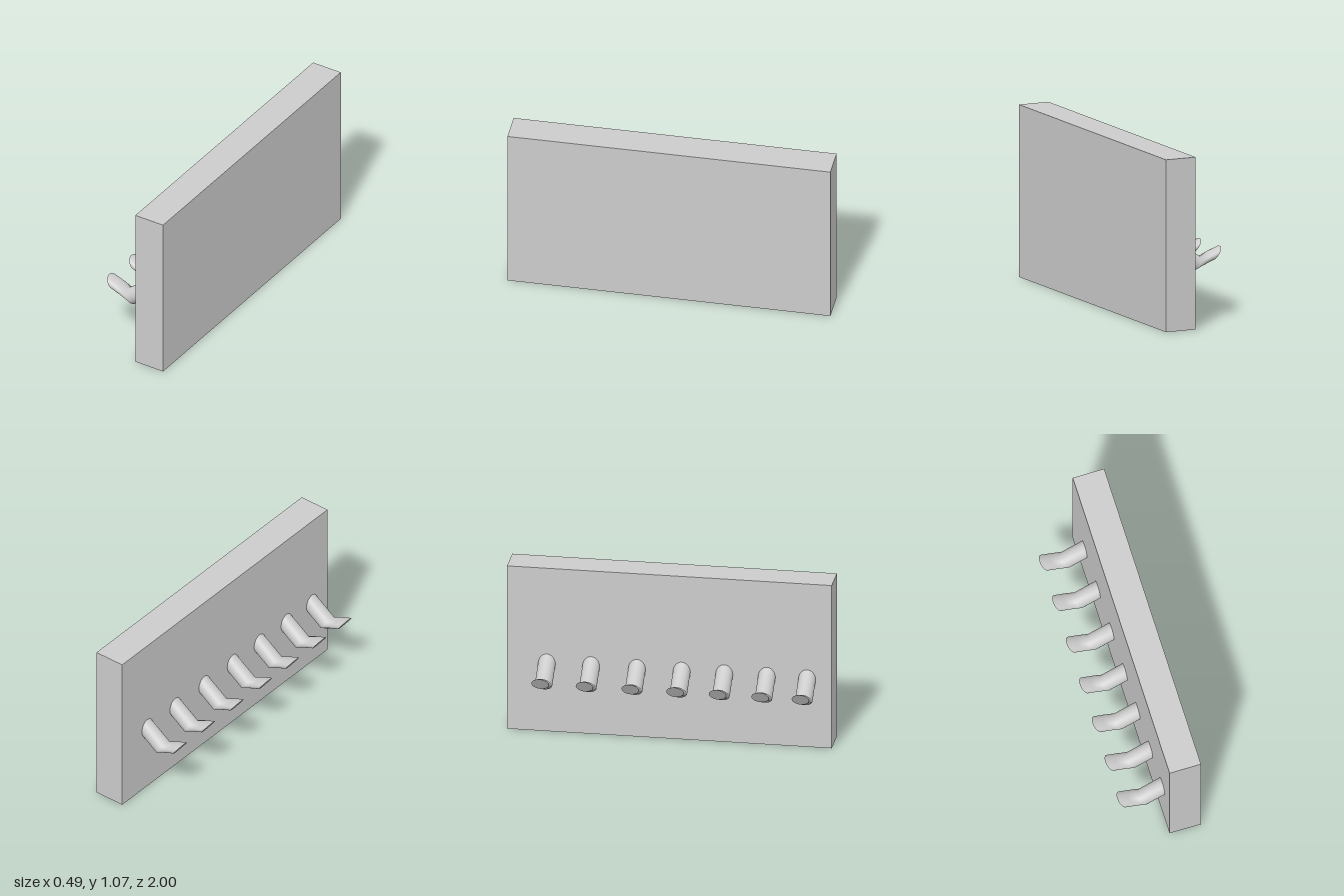
import * as THREE from 'three';

const SIDES = 32;
const RADIUS = 0.053;

// Upper and lower outline points of each slanted section, wall to tip
const SECTIONS = [
  { top: [0.043, 0.505], bottom: [0.043, 0.378] },
  { top: [-0.11, 0.397], bottom: [-0.05, 0.31] },
  { top: [-0.175, 0.428], bottom: [-0.112, 0.339] },
  { top: [-0.243, 0.452], bottom: [-0.184, 0.367] },
];

// Elliptical rings joined into a bent tube, with a separate flat cap at the tip
function pegGeometry() {
  const positions = [];
  const indices = [];
  const addRing = ({ top, bottom }) => {
    const start = positions.length / 3;
    for (let j = 0; j < SIDES; j++) {
      const angle = (j / SIDES) * Math.PI * 2;
      const k = (1 + Math.cos(angle)) / 2;
      positions.push(
        THREE.MathUtils.lerp(bottom[0], top[0], k),
        THREE.MathUtils.lerp(bottom[1], top[1], k),
        RADIUS * Math.sin(angle),
      );
    }
    return start;
  };

  const rings = SECTIONS.map(addRing);
  for (let i = 0; i < rings.length - 1; i++) {
    for (let j = 0; j < SIDES; j++) {
      const n = (j + 1) % SIDES;
      const a = rings[i] + j, b = rings[i] + n;
      const c = rings[i + 1] + j, d = rings[i + 1] + n;
      indices.push(a, c, b, b, c, d);
    }
  }

  const cap = addRing(SECTIONS[SECTIONS.length - 1]);
  for (let j = 1; j < SIDES - 1; j++) indices.push(cap, cap + j + 1, cap + j);

  const geometry = new THREE.BufferGeometry();
  geometry.setAttribute('position', new THREE.Float32BufferAttribute(positions, 3));
  geometry.setIndex(indices);
  geometry.computeVertexNormals();
  return geometry;
}

export function createModel() {
  const model = new THREE.Group();
  model.name = 'pegRack';
  const material = new THREE.MeshStandardMaterial({ color: 0xcccccc });

  // Upright backing board
  const board = new THREE.Mesh(new THREE.BoxGeometry(0.2, 1.067, 2), material);
  board.name = 'board';
  board.position.set(0.143, 0.5335, 0);
  model.add(board);

  // Row of bent pegs
  const pegs = new THREE.Group();
  pegs.name = 'pegs';
  const geometry = pegGeometry();
  [-0.755, -0.482, -0.2, 0.076, 0.338, 0.6, 0.848].forEach((z, i) => {
    const peg = new THREE.Mesh(geometry, material);
    peg.name = `peg${i + 1}`;
    peg.position.z = z;
    pegs.add(peg);
  });
  model.add(pegs);

  return model;
}
